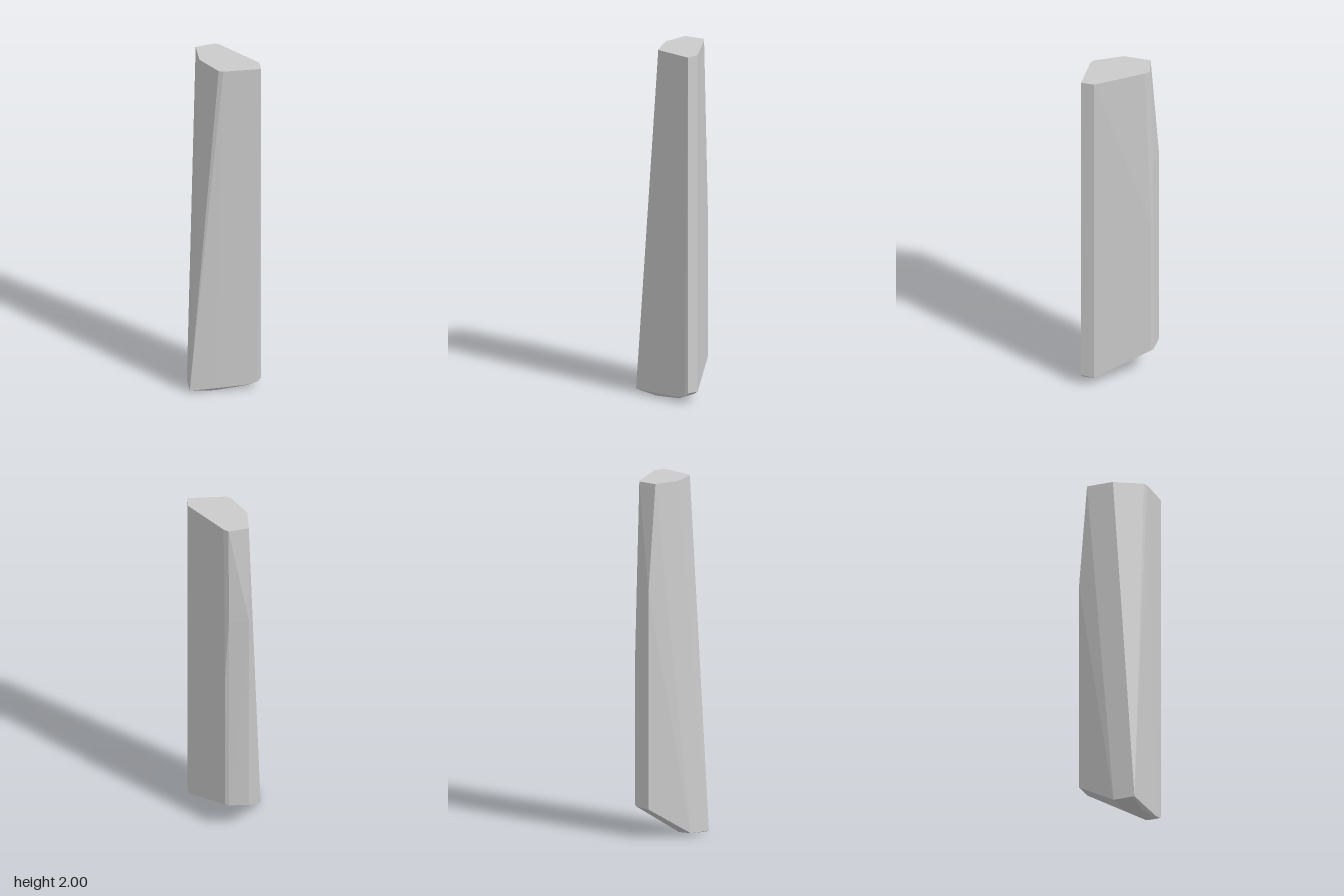
import * as THREE from 'three';
import { ConvexGeometry } from 'three/addons/geometries/ConvexGeometry.js';

export function createModel() {
  const group = new THREE.Group();
  group.name = 'stoneShard';

  // flat top: an irregular polygon of [x, z] corners
  const top = [
    [-0.125, 0.02], [-0.125, -0.135], [-0.012, -0.162], [0.015, -0.14],
    [0.2, 0.1], [0.2, 0.175], [-0.012, 0.18], [-0.037, 0.17],
  ].map(([x, z]) => [x, 2, z]);

  // chipped back ridge, where the upper bevel meets the back face
  const ridge = [[-0.125, 1.4, -0.183], [-0.012, 1.4, -0.18], [0.01, 1.0, -0.175]];

  // slanted back edge of the underside
  const heel = [[-0.125, 0.165, -0.183], [-0.012, 0.165, -0.182], [0.01, 0.17, -0.175]];

  // worn foot: low on the -x side, rounded up towards +x
  const foot = [
    [-0.2, 0.015, 0.18], [-0.2, 0.015, 0.055], [-0.19, 0.01, 0.17],
    [-0.06, 0.02, 0.181], [-0.06, 0, 0.165], [-0.07, 0, 0.07],
    [0.12, 0.03, 0.18], [0.12, 0.02, 0.165], [0.13, 0.025, 0.11],
    [0.18, 0.045, 0.178], [0.2, 0.065, 0.174], [0.2, 0.06, 0.1], [0.18, 0.045, 0.11],
  ];

  const points = [...top, ...ridge, ...heel, ...foot].map((p) => new THREE.Vector3(...p));
  const shard = new THREE.Mesh(
    new ConvexGeometry(points),
    new THREE.MeshStandardMaterial({ color: 0xcccccc, flatShading: true }),
  );
  shard.name = 'shard';
  group.add(shard);
  return group;
}
